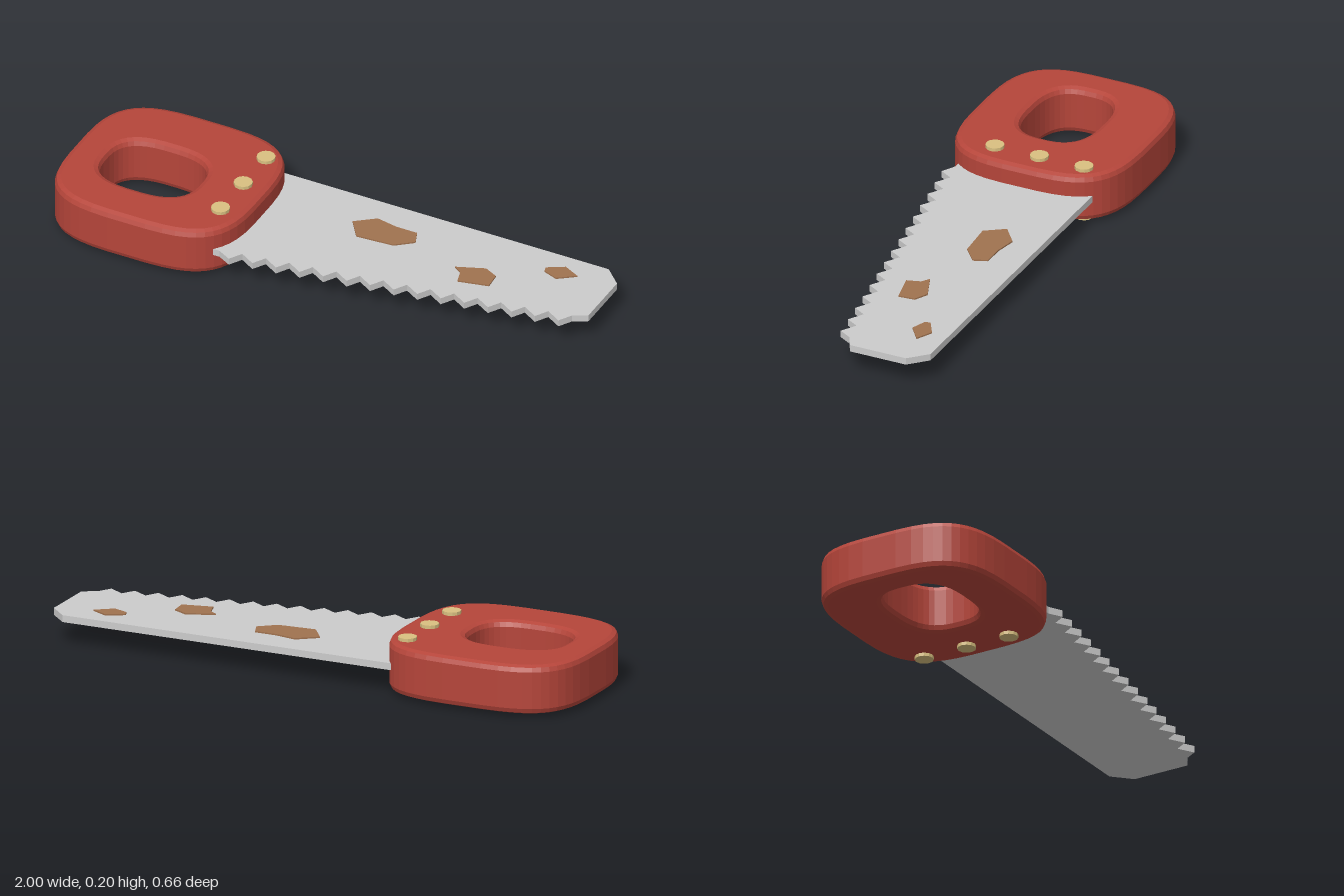
import * as THREE from 'three';

const material = (color) => new THREE.MeshStandardMaterial({ color, flatShading: true });

// Points are [x, z] on the ground plane; shapes are drawn with y = -z.
const toPoints = (list) => list.map(([x, z]) => new THREE.Vector2(x, -z));

// Rounded rectangle-like loop, counter-clockwise in the shape's plane
function roundedLoop(cx, cz, rx, rz, power, count) {
  const list = [];
  const bend = (v) => Math.sign(v) * Math.abs(v) ** (2 / power);
  for (let i = 0; i < count; i++) {
    const a = ((i + 0.5) / count) * Math.PI * 2;
    list.push([cx + rx * bend(Math.cos(a)), cz - rz * bend(Math.sin(a))]);
  }
  return toPoints(list);
}

// Flat slab lying between heights y0 and y1, with an optional rounded rim
function slab(name, shape, y0, y1, mat, bevel = 0) {
  const geometry = new THREE.ExtrudeGeometry(shape, {
    depth: y1 - y0 - 2 * bevel,
    bevelEnabled: bevel > 0,
    bevelSize: bevel,
    bevelThickness: bevel,
    bevelOffset: -bevel,
    bevelSegments: 2,
  });
  geometry.rotateX(-Math.PI / 2);
  geometry.translate(0, y0 + bevel, 0);
  const mesh = new THREE.Mesh(geometry, mat);
  mesh.name = name;
  return mesh;
}

export function createModel() {
  const saw = new THREE.Group();
  saw.name = 'handSaw';

  const red = material(0xb5453a);
  const steel = material(0xcccccc);
  const brass = material(0xd9c080);
  const rust = material(0xa0724f);

  // Handle with a grip hole
  const grip = new THREE.Shape(roundedLoop(-0.639, 0.001, 0.362, 0.332, 3.4, 48));
  grip.holes.push(new THREE.Path(roundedLoop(-0.692, 0.021, 0.182, 0.137, 2.8, 40)));
  saw.add(slab('handle', grip, 0.012, 0.188, red, 0.022));

  // Blade: straight back, clipped nose, teeth along the tapering edge
  const outline = [[-0.35, -0.256], [0.935, -0.256], [1, -0.193], [1, 0.022]];
  const teeth = 15;
  for (let i = teeth - 1; i >= 0; i--) {
    const x = -0.26 + i * 0.0844;
    const z = 0.29 - i * 0.0138;
    outline.push([x + 0.028, z - 0.047], [x, z]);
  }
  outline.push([-0.31, 0.263], [-0.35, 0.263]);
  saw.add(slab('blade', new THREE.Shape(toPoints(outline)), 0.086, 0.111, steel));

  // Rust patches on the upper face of the blade
  const patches = [
    [[0.02, -0.1], [0.09, -0.155], [0.17, -0.14], [0.25, -0.14], [0.27, -0.09], [0.21, -0.04], [0.07, -0.03]],
    [[0.46, -0.02], [0.56, -0.06], [0.61, -0.035], [0.615, 0.025], [0.505, 0.05], [0.49, 0.0]],
    [[0.74, -0.16], [0.8, -0.195], [0.86, -0.165], [0.8, -0.12], [0.745, -0.14]],
  ];
  for (const patch of patches) {
    saw.add(slab('rustPatch', new THREE.Shape(toPoints(patch)), 0.109, 0.116, rust));
  }

  // Rivets passing through the handle
  for (const z of [-0.204, -0.032, 0.139]) {
    const rivet = new THREE.Mesh(new THREE.CylinderGeometry(0.033, 0.033, 0.2, 12), brass);
    rivet.name = 'rivet';
    rivet.position.set(-0.37, 0.1, z);
    saw.add(rivet);
  }

  return saw;
}
